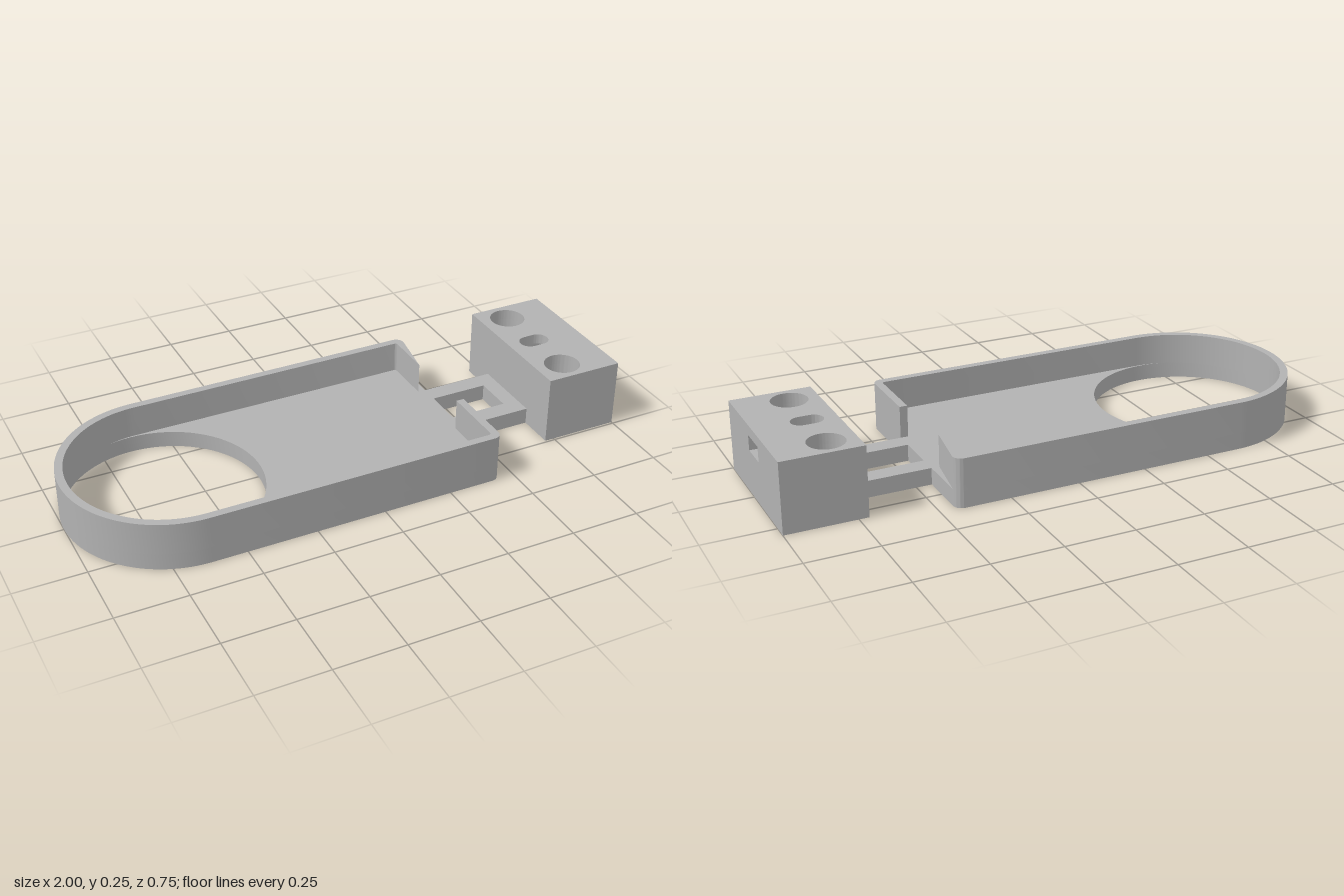
import * as THREE from 'three';
import { toCreasedNormals } from 'three/addons/utils/BufferGeometryUtils.js';

const PI = Math.PI;
const FLOOR = 0.06, RIM = 0.175, TOP = 0.25;   // heights
const CX = -0.625, R = 0.375, WALL = 0.028;    // rounded end of the tray
const END = 0.445, FILLET = 0.03;              // square end of the tray
const AXIS = 0.03;                             // plan offset of arm and block (plan y = -z)
const NOTCH = 0.1375;                          // half width of arm and wall opening

export function createModel() {
  const group = new THREE.Group();
  const grey = new THREE.MeshStandardMaterial({ color: 0xb2b2b2 });
  grey.name = 'grey plastic';

  const add = (name, geometry) => {
    const mesh = new THREE.Mesh(geometry, grey);
    mesh.name = name;
    group.add(mesh);
  };

  // Extrudes a plan shape from height y0 to y1
  const slab = (name, shape, y0, y1) => {
    const geo = new THREE.ExtrudeGeometry(shape, { depth: y1 - y0, bevelEnabled: false, curveSegments: 40 });
    geo.rotateX(-PI / 2).translate(0, y0, 0);
    add(name, toCreasedNormals(geo, 0.5));
  };
  const box = (name, x0, x1, y0, y1, s0, s1) => add(name,
    new THREE.BoxGeometry(x1 - x0, y1 - y0, s1 - s0)
      .translate((x0 + x1) / 2, (y0 + y1) / 2, -(s0 + s1) / 2));

  const circle = (x, y, r) => new THREE.Path().absarc(x, y, r, 0, 2 * PI, false);

  // Outer tray edge, running from the upper to the lower side of the square end
  const outerEdge = (shape, yStart, yEnd) => {
    shape.moveTo(END, yStart);
    shape.absarc(END - FILLET, R - FILLET, FILLET, 0, PI / 2, false);
    shape.absarc(CX, 0, R, PI / 2, PI * 1.5, false);
    shape.absarc(END - FILLET, FILLET - R, FILLET, PI * 1.5, 2 * PI, false);
    shape.lineTo(END, yEnd);
    return shape;
  };

  // Tray floor with its large round opening
  const floor = outerEdge(new THREE.Shape(), 0, 0);
  floor.holes.push(circle(-0.644, 0, 0.342));
  slab('trayFloor', floor, 0, FLOOR);

  // Rim wall, open where the arm joins
  const hi = AXIS + NOTCH, lo = AXIS - NOTCH, ri = R - WALL, xi = END - WALL, f = 0.01;
  const wall = outerEdge(new THREE.Shape(), hi, lo);
  wall.lineTo(xi, lo);
  wall.absarc(xi - f, f - ri, f, 0, -PI / 2, true);
  wall.absarc(CX, 0, ri, PI * 1.5, PI / 2, true);
  wall.absarc(xi - f, ri - f, f, PI / 2, 0, true);
  wall.lineTo(xi, hi);
  slab('trayWall', wall, FLOOR, RIM);

  // Connecting arm: two bars and a cross bar around a window
  const inner = 0.0715, bx = 0.715;
  box('armBarBack', END, bx, 0, FLOOR, AXIS + inner, hi);
  box('armBarFront', END, bx, 0, FLOOR, lo, AXIS - inner);
  box('armCrossBar', 0.657, bx, 0, FLOOR, AXIS - inner, AXIS + inner);

  // Mounting block, stacked in layers around its bores and nut slot
  const hx = 0.817, half = 0.272, slotR = 0.036, slotL = 0.02, nut = 0.052;
  const blockLayer = (name, y0, y1, boreR, nutSlot) => {
    const s = new THREE.Shape();
    s.moveTo(bx, AXIS - half);
    s.lineTo(1, AXIS - half);
    if (nutSlot) {
      s.lineTo(1, AXIS - nut);
      s.lineTo(hx - 0.03, AXIS - nut);
      s.lineTo(hx - 0.06, AXIS);
      s.lineTo(hx - 0.03, AXIS + nut);
      s.lineTo(1, AXIS + nut);
    } else {
      const slot = new THREE.Path();
      slot.absarc(hx + slotL, AXIS, slotR, -PI / 2, PI / 2, false);
      slot.absarc(hx - slotL, AXIS, slotR, PI / 2, PI * 1.5, false);
      slot.closePath();
      s.holes.push(slot);
    }
    s.lineTo(1, AXIS + half);
    s.lineTo(bx, AXIS + half);
    s.closePath();
    for (const side of [-1, 1]) s.holes.push(circle(hx, AXIS + side * 0.187, boreR));
    slab(name, s, y0, y1);
  };
  blockLayer('blockBase', 0, 0.08, 0.035, false);
  blockLayer('blockMiddle', 0.08, 0.158, 0.064, false);
  blockLayer('blockNutSlot', 0.158, 0.212, 0.064, true);
  blockLayer('blockTop', 0.212, TOP, 0.064, false);

  return group;
}
